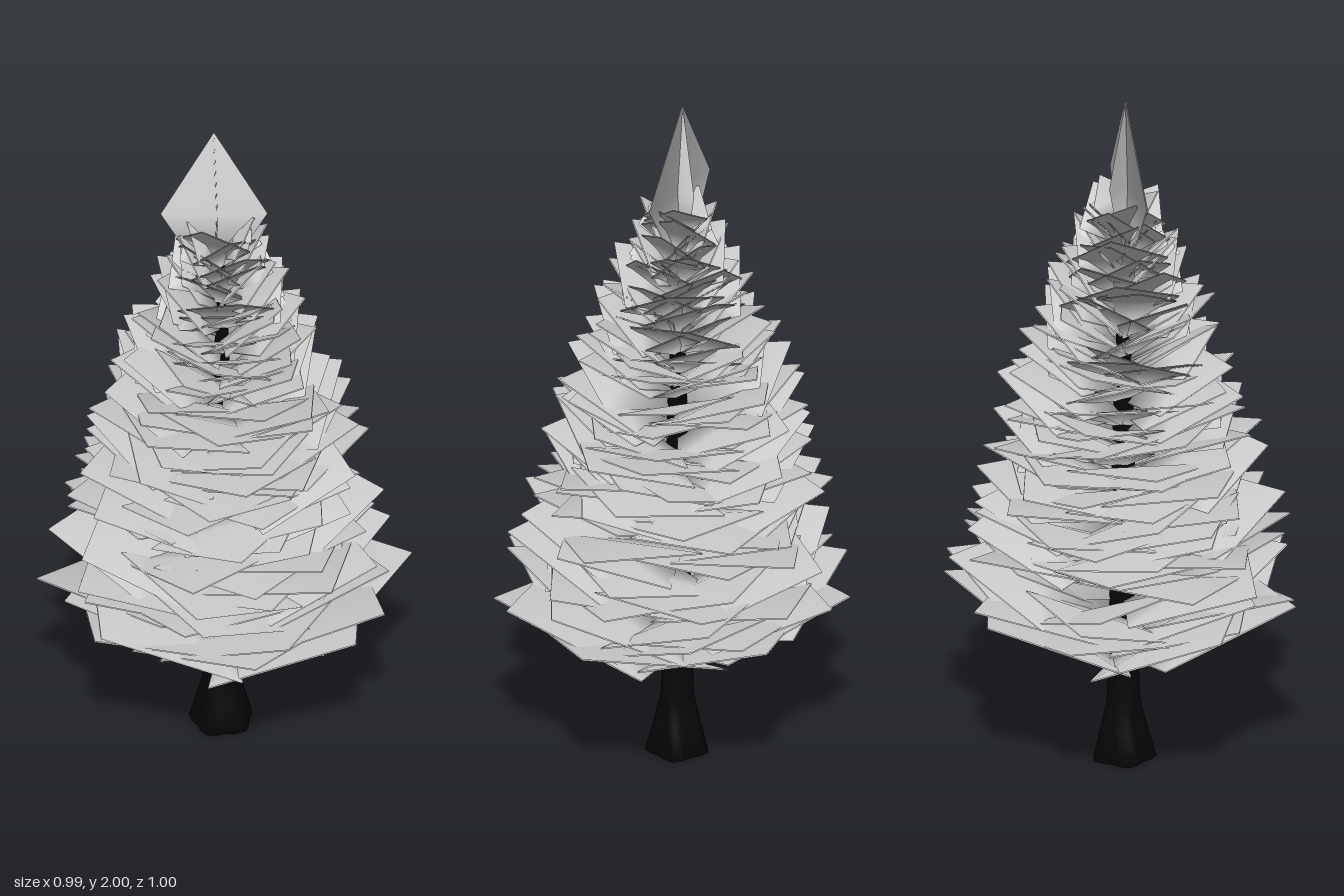
import * as THREE from 'three';
import { mergeGeometries } from 'three/addons/utils/BufferGeometryUtils.js';

const LEAF_COUNT = 190;
const GOLDEN = Math.PI * (3 - Math.sqrt(5));

// small seeded random, -1..1
function makeRandom(seed) {
  let s = seed;
  return () => {
    s = (s * 16807) % 2147483647;
    return (s / 2147483647) * 2 - 1;
  };
}

// linear lookup in [[height, value], ...]
function lookup(table, y) {
  for (let i = 1; i < table.length; i++) {
    const [y0, v0] = table[i - 1], [y1, v1] = table[i];
    if (y <= y1) return THREE.MathUtils.lerp(v0, v1, (y - y0) / (y1 - y0));
  }
  return table[table.length - 1][1];
}

// kite along +x with its side corners raised by arch: an upper and a lower sheet,
// both with soft foliage normals that lean outward and turn inward at the root
function kite(length, halfWidth, arch) {
  const m = length / 2;
  const position = [], normal = [];
  for (const y of [0, -0.003]) {
    position.push(0, y, 0, m, arch + y, halfWidth, length, y, 0, m, arch + y, -halfWidth);
    normal.push(-0.9, 0.4, 0, 0.29, 0.94, 0.18, 0.33, 0.94, 0, 0.29, 0.94, -0.18);
  }
  const g = new THREE.BufferGeometry();
  g.setAttribute('position', new THREE.Float32BufferAttribute(position, 3));
  g.setAttribute('normal', new THREE.Float32BufferAttribute(normal, 3));
  g.setIndex([0, 1, 3, 1, 2, 3, 4, 7, 5, 5, 7, 6]);
  return g;
}

// trunk with a lobed root flare
function createTrunk() {
  const profile = [[0, 0], [0.083, 0], [0.062, 0.09], [0.045, 0.17], [0.04, 0.35], [0.03, 1.0], [0.006, 1.65]]
    .map(([r, y]) => new THREE.Vector2(r, y));
  const g = new THREE.LatheGeometry(profile, 20);
  const p = g.attributes.position;
  for (let i = 0; i < p.count; i++) {
    const flare = Math.max(0, 1 - p.getY(i) / 0.25);
    const k = 1 + 0.1 * flare * Math.cos(5 * Math.atan2(p.getZ(i), p.getX(i)));
    p.setX(i, p.getX(i) * k);
    p.setZ(i, p.getZ(i) * k);
  }
  g.computeVertexNormals();
  const trunk = new THREE.Mesh(g, new THREE.MeshStandardMaterial({ color: 0x060606, side: THREE.DoubleSide }));
  trunk.name = 'trunk';
  return trunk;
}

// spiral of arched square branches, shorter and steeper toward the top
function createBranches(material) {
  const random = makeRandom(4711);
  const reach = [[0.53, 0.51], [0.62, 0.47], [0.8, 0.43], [1.0, 0.385], [1.2, 0.33], [1.4, 0.24], [1.6, 0.155], [1.74, 0.09]];
  const rise = [[0.53, 24], [0.65, 19], [0.85, 17], [1.0, 20], [1.2, 27], [1.45, 42], [1.74, 60]];
  const parts = [];
  for (let i = 0; i < LEAF_COUNT; i++) {
    const low = i < 10;
    const tipY = 0.54 + 1.19 * Math.max(0, (i - 9) / (LEAF_COUNT - 10)) + 0.02 * random();
    const r = lookup(reach, tipY) * (0.97 + 0.06 * random());
    const angle = THREE.MathUtils.degToRad(lookup(rise, tipY) + 4 * random());
    const length = r / Math.cos(angle);
    const g = kite(length, length * (0.53 + 0.05 * random()), 0.06 * length);
    g.rotateX((low ? 0.12 : 0.28) * random());
    g.rotateZ(angle);
    g.rotateY(i * GOLDEN + (low ? 0.12 : 0.5) * random());
    g.translate(0, tipY - r * Math.tan(angle), 0);
    parts.push(g);
  }
  const branches = new THREE.Mesh(mergeGeometries(parts), material);
  branches.name = 'branches';
  return branches;
}

// upright crossed kites at the tip
function createCrown(material) {
  const parts = [[0.145, Math.PI * 0.75], [0.045, -Math.PI * 0.75]].map(([halfWidth, turn]) => {
    const g = kite(0.54, halfWidth, 0.01);
    g.rotateZ(Math.PI / 2);
    g.rotateY(turn);
    return g;
  });
  const crown = new THREE.Mesh(mergeGeometries(parts), material);
  crown.position.set(-0.015, 1.46, 0.015);
  crown.name = 'crown';
  return crown;
}

export function createModel() {
  const model = new THREE.Group();
  model.name = 'conifer';
  const foliage = new THREE.MeshStandardMaterial({ color: 0xcccccc, side: THREE.DoubleSide });
  model.add(createTrunk(), createBranches(foliage), createCrown(foliage));
  return model;
}
